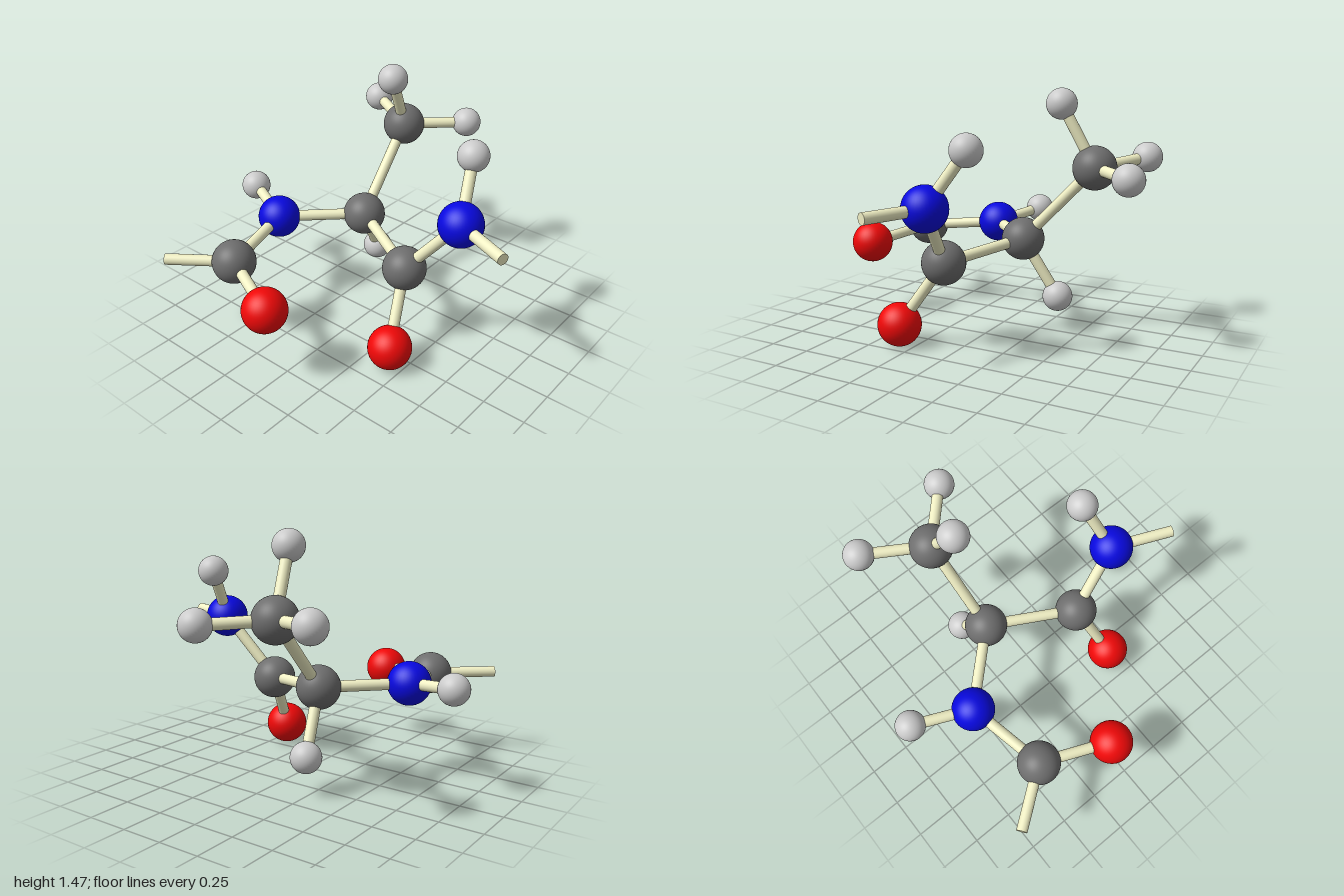
import * as THREE from 'three';

export function createModel() {
  const model = new THREE.Group();
  model.name = 'moleculeModel';
  const material = (color) => new THREE.MeshStandardMaterial({ color });
  const kinds = {
    carbon: { radius: 0.128, mat: material(0x6e6e6e) },
    nitrogen: { radius: 0.128, mat: material(0x0808e0) },
    oxygen: { radius: 0.128, mat: material(0xf00808) },
    hydrogen: { radius: 0.09, mat: material(0xcccccc) },
  };
  const bondMaterial = material(0xf0efc4);
  const BOND_RADIUS = 0.033;

  // Atom centres: name, kind, position
  const atoms = [
    ['alphaCarbon', 'carbon', -0.184, 0.572, -0.16],
    ['alphaHydrogen', 'hydrogen', -0.243, 0.226, -0.365],
    ['methylCarbon', 'carbon', -0.216, 1.024, -0.594],
    ['methylHydrogenTop', 'hydrogen', -0.163, 1.386, -0.406],
    ['methylHydrogenRight', 'hydrogen', -0.573, 1.06, -0.79],
    ['methylHydrogenLeft', 'hydrogen', 0.061, 1.012, -0.89],
    ['rightNitrogen', 'nitrogen', -0.564, 0.574, 0.205],
    ['rightAmideHydrogen', 'hydrogen', -0.91, 0.622, 0.065],
    ['rightCarbon', 'carbon', -0.457, 0.525, 0.683],
    ['rightOxygen', 'oxygen', -0.04, 0.47, 0.85],
    ['leftCarbon', 'carbon', 0.323, 0.505, 0.091],
    ['leftOxygen', 'oxygen', 0.415, 0.13, 0.337],
    ['leftNitrogen', 'nitrogen', 0.635, 0.873, 0.012],
    ['leftAmideHydrogen', 'hydrogen', 0.559, 1.182, -0.193],
  ];
  const points = {};
  for (const [name, kind, x, y, z] of atoms) {
    const { radius, mat } = kinds[kind];
    const atom = new THREE.Mesh(new THREE.SphereGeometry(radius, 40, 28), mat);
    atom.name = name;
    atom.position.set(x, y, z);
    points[name] = atom.position;
    model.add(atom);
  }

  // Free ends of the two open bonds
  points.rightOpenEnd = new THREE.Vector3(-0.778, 0.53, 0.923);
  points.leftOpenEnd = new THREE.Vector3(0.985, 0.868, 0.157);

  // Rod joining two points
  const addBond = (from, to) => {
    const a = points[from], b = points[to];
    const direction = b.clone().sub(a);
    const length = direction.length();
    const rod = new THREE.Mesh(new THREE.CylinderGeometry(BOND_RADIUS, BOND_RADIUS, length, 24), bondMaterial);
    rod.name = `bond ${from} to ${to}`;
    rod.position.copy(a).add(b).multiplyScalar(0.5);
    rod.quaternion.setFromUnitVectors(new THREE.Vector3(0, 1, 0), direction.normalize());
    model.add(rod);
  };
  const bonds = {
    alphaCarbon: ['alphaHydrogen', 'methylCarbon', 'rightNitrogen', 'leftCarbon'],
    methylCarbon: ['methylHydrogenTop', 'methylHydrogenRight', 'methylHydrogenLeft'],
    rightNitrogen: ['rightAmideHydrogen', 'rightCarbon'],
    rightCarbon: ['rightOxygen', 'rightOpenEnd'],
    leftCarbon: ['leftOxygen', 'leftNitrogen'],
    leftNitrogen: ['leftAmideHydrogen', 'leftOpenEnd'],
  };
  for (const [from, ends] of Object.entries(bonds)) ends.forEach((to) => addBond(from, to));

  return model;
}
